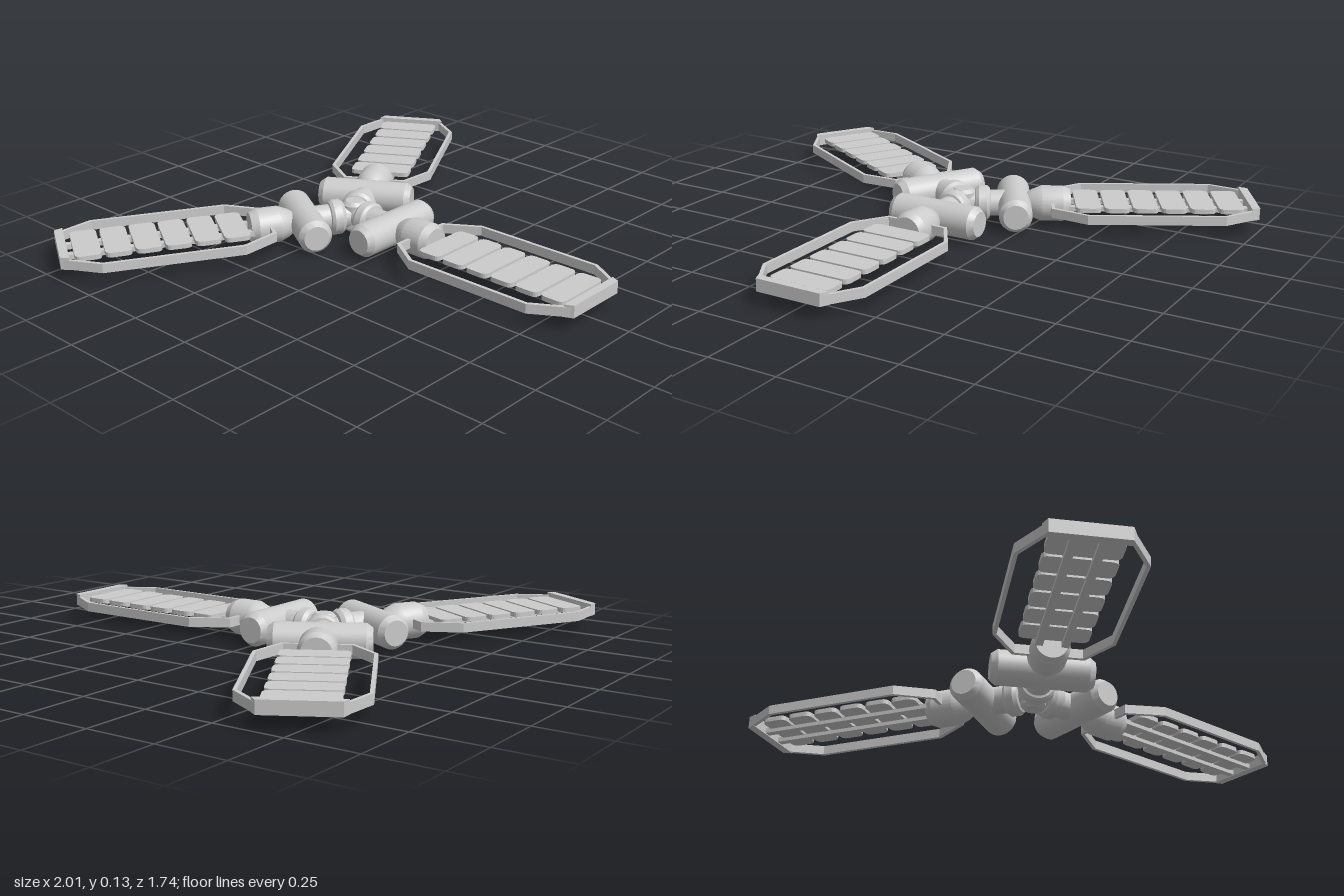
import * as THREE from 'three';
import { toCreasedNormals } from 'three/addons/utils/BufferGeometryUtils.js';

const material = new THREE.MeshStandardMaterial({ color: 0xcccccc });

function add(parent, name, geometry) {
  const mesh = new THREE.Mesh(geometry, material);
  mesh.name = name;
  parent.add(mesh);
  return mesh;
}

// Turned part: [radius, height] pairs from bottom to top, crisp at the bevels
function turned(points) {
  const profile = points.map(([r, h]) => new THREE.Vector2(r, h));
  return toCreasedNormals(new THREE.LatheGeometry(profile, 28), 0.4);
}

// Flat plate: outline in (x, z), standing between two heights
function plate(shape, bottom, top) {
  const g = new THREE.ExtrudeGeometry(shape, { depth: top - bottom, bevelEnabled: false, curveSegments: 4 });
  return g.rotateX(Math.PI / 2).translate(0, top, 0);
}

const polygon = (Type, pts) => new Type(pts.map(([x, z]) => new THREE.Vector2(x, z)));

// Stretched octagon: end half-width, side half-width and the four stations along the arm
function octagon(end, side, z0, z1, z2, z3) {
  return [[-end, z0], [end, z0], [side, z1], [side, z2], [end, z3], [-end, z3], [-side, z2], [-side, z1]];
}

function roundedRect(w, d, r) {
  const x = w / 2, z = d / 2;
  const s = new THREE.Shape();
  s.moveTo(-x + r, -z);
  s.lineTo(x - r, -z);
  s.quadraticCurveTo(x, -z, x, -z + r);
  s.lineTo(x, z - r);
  s.quadraticCurveTo(x, z, x - r, z);
  s.lineTo(-x + r, z);
  s.quadraticCurveTo(-x, z, -x, z - r);
  s.lineTo(-x, -z + r);
  s.quadraticCurveTo(-x, -z, -x + r, -z);
  return s;
}

// One arm, reaching along +z from the hub axis
function createArm() {
  const arm = new THREE.Group();
  arm.name = 'arm';

  // Neck and collar between the hub and the cross cylinder
  add(arm, 'collar', turned([
    [0, 0.01], [0.045, 0.01], [0.045, 0.042], [0.056, 0.045], [0.066, 0.058],
    [0.066, 0.088], [0.058, 0.098], [0.05, 0.1], [0.05, 0.16], [0, 0.16],
  ]).rotateX(Math.PI / 2));

  // Cross cylinder with bevelled ends
  add(arm, 'crossCylinder', turned([
    [0, -0.18], [0.046, -0.18], [0.062, -0.158], [0.062, 0.158], [0.046, 0.18], [0, 0.18],
  ]).rotateZ(Math.PI / 2)).position.z = 0.192;

  // Barrel that holds the panel frame
  add(arm, 'barrel', turned([
    [0, 0.21], [0.038, 0.235], [0.052, 0.255], [0.067, 0.292],
    [0.067, 0.372], [0.054, 0.4], [0, 0.4],
  ]).rotateX(Math.PI / 2));

  // Thin octagonal frame
  const outline = polygon(THREE.Shape, octagon(0.123, 0.203, 0.325, 0.452, 0.952, 1.085));
  outline.holes.push(polygon(THREE.Path, octagon(0.115, 0.19, 0.338, 0.456, 0.948, 1.072).reverse()));
  add(arm, 'frame', plate(outline, -0.016, 0.018));

  // Thicker bar across the tip
  const tip = [[-0.138, 1.055], [0.138, 1.055], [0.124, 1.086], [-0.124, 1.086]];
  add(arm, 'tipBar', plate(polygon(THREE.Shape, tip), -0.018, 0.027));

  // Pair of rails under the panels
  for (const side of [-1, 1]) {
    add(arm, 'rail', new THREE.BoxGeometry(0.026, 0.018, 0.68)).position.set(side * 0.044, -0.005, 0.725);
  }

  // Row of rounded panels
  const panel = plate(roundedRect(0.234, 0.093, 0.024), 0, 0.017);
  for (let i = 0; i < 6; i++) {
    add(arm, 'panel', panel).position.z = 0.463 + i * 0.105;
  }
  return arm;
}

export function createModel() {
  const model = new THREE.Group();
  model.name = 'threeArmPanelRotor';
  const rotor = new THREE.Group();
  rotor.name = 'rotor';
  rotor.position.set(0, 0.067, -0.217);
  model.add(rotor);

  // Central hub
  add(rotor, 'hub', turned([
    [0, -0.058], [0.032, -0.058], [0.045, -0.045], [0.045, 0.045], [0.032, 0.058], [0, 0.058],
  ]));

  // Three arms evenly around the hub
  for (let i = 0; i < 3; i++) {
    const arm = createArm();
    arm.rotation.y = (i * Math.PI * 2) / 3;
    rotor.add(arm);
  }
  return model;
}
